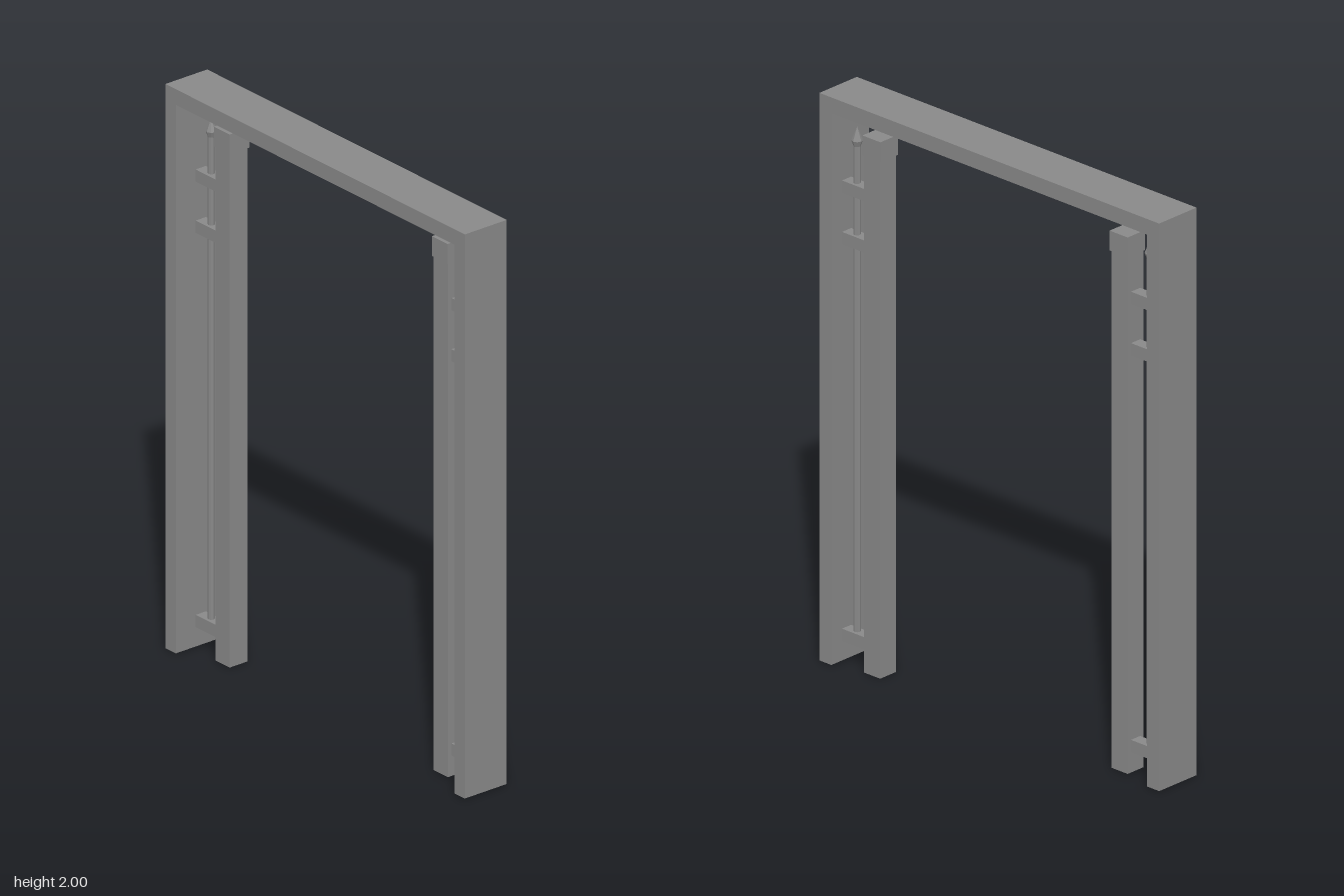
import * as THREE from 'three';

const material = new THREE.MeshStandardMaterial({ color: 0x888888, flatShading: true });

function add(parent, name, geometry, x = 0, y = 0, z = 0) {
  const mesh = new THREE.Mesh(geometry, material);
  mesh.name = name;
  mesh.position.set(x, y, z);
  parent.add(mesh);
  return mesh;
}

// Box given by its x, y and z ranges
function addBox(parent, name, [x0, x1], [y0, y1], [z0, z1]) {
  const geometry = new THREE.BoxGeometry(x1 - x0, y1 - y0, z1 - z0);
  return add(parent, name, geometry, (x0 + x1) / 2, (y0 + y1) / 2, (z0 + z1) / 2);
}

export function createModel() {
  const model = new THREE.Group();
  model.name = 'gateway';

  // Outer frame: two jambs and a lintel in one piece
  const W = 0.753, w = 0.70, H = 2, h = 1.945;
  const outline = [[-W, 0.003], [-w, 0.003], [-w, h], [w, h], [w, 0.003], [W, 0.003], [W, H], [-W, H]];
  const shape = new THREE.Shape(outline.map(([x, y]) => new THREE.Vector2(x, y)));
  const frame = new THREE.ExtrudeGeometry(shape, { depth: 0.175, bevelEnabled: false });
  add(model, 'outerFrame', frame, 0, 0, -0.129);

  // Inner post, cross bars and spear on each side, set slightly towards +x
  const zMid = -0.058;
  for (const side of [-1, 1]) {
    const panel = new THREE.Group();
    panel.name = side > 0 ? 'leftPanel' : 'rightPanel';
    panel.position.x = 0.003;
    model.add(panel);
    const span = (a, b) => (side > 0 ? [a, b] : [-b, -a]);
    const depth = (d) => [zMid - d / 2, zMid + d / 2];

    addBox(panel, 'innerPost', span(0.513, 0.584), [0, 1.83], depth(0.074));
    addBox(panel, 'postCap', span(0.508, 0.588), [1.82, 1.89], depth(0.082));

    for (const [y0, y1] of [[0.072, 0.115], [1.468, 1.511], [1.649, 1.692]]) {
      addBox(panel, 'crossBar', span(0.584, 0.704), [y0, y1], depth(0.043));
    }

    // Rod with a pointed head, turned as one profile
    const profile = [[0, 0.1], [0.012, 0.1], [0.012, 1.822], [0.019, 1.842], [0, 1.89]];
    const spear = new THREE.LatheGeometry(profile.map(([r, y]) => new THREE.Vector2(r, y)), 8);
    add(panel, 'spearRod', spear, side * 0.65, 0, zMid);
  }

  return model;
}
